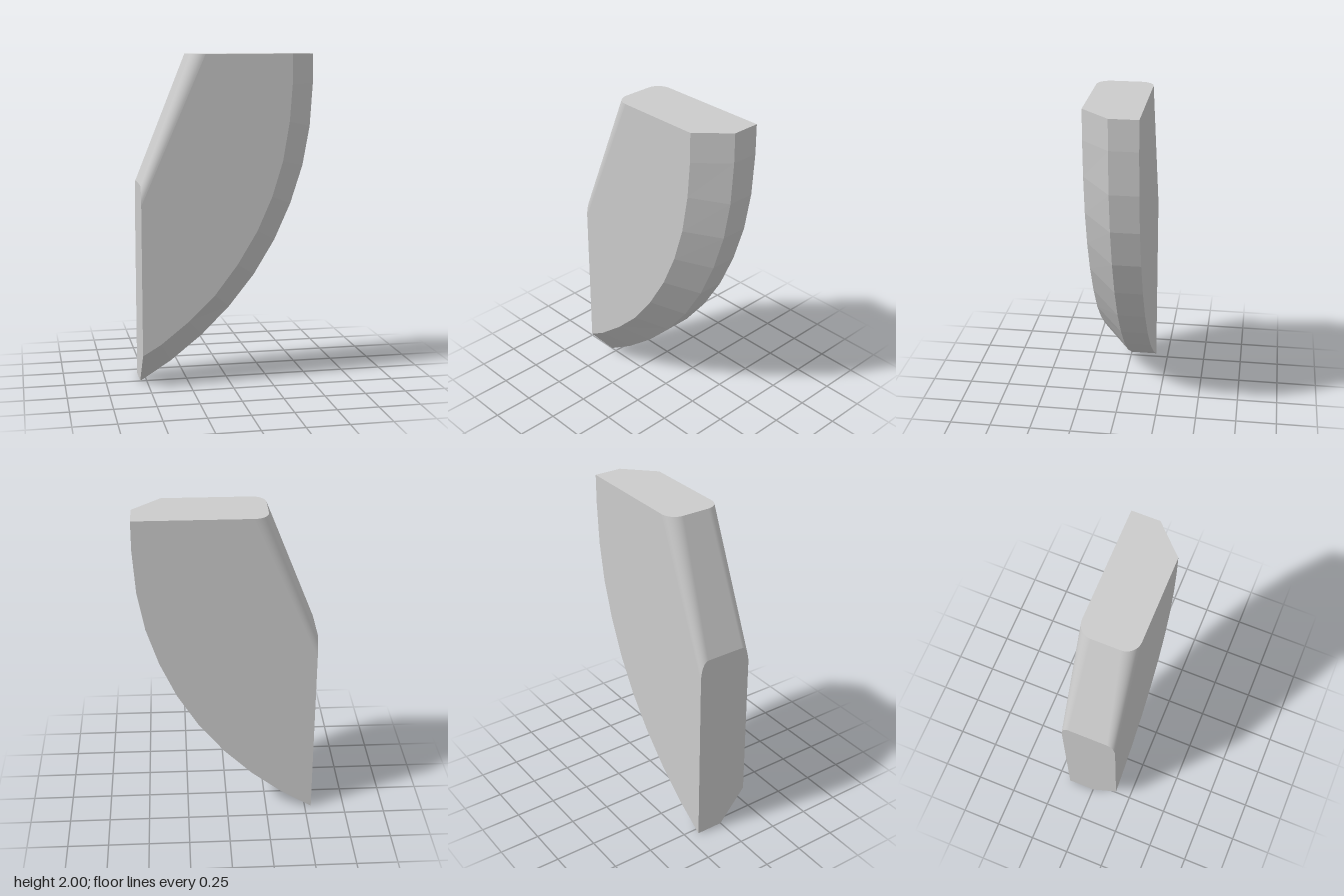
import * as THREE from 'three';

const HALF = 0.17; // half of the plate thickness

export function createModel() {
  const group = new THREE.Group();
  group.name = 'curvedPlate';
  const material = new THREE.MeshStandardMaterial({ color: 0xcccccc });

  const add = (name, points, index) => {
    const geometry = new THREE.BufferGeometry();
    geometry.setAttribute('position', new THREE.Float32BufferAttribute(points.flat(), 3));
    if (index) geometry.setIndex(index);
    geometry.computeVertexNormals();
    const mesh = new THREE.Mesh(geometry, material);
    mesh.name = name;
    group.add(mesh);
  };

  // Convex flat face, corners counter-clockwise from outside
  const fan = (p) => p.slice(2).flatMap((q, i) => [p[0], p[i + 1], q]);
  // Faceted band between two matching rows
  const band = (a, b) => a.slice(1).flatMap((q, i) => fan([a[i], b[i], b[i + 1], q]));
  const atZ = (row, z) => row.map(([x, y]) => [x, y, z]);

  // Curved edge from bottom to top: full outline and its chamfered inset
  const outline = [[-0.54, 0], [-0.35, 0.12], [-0.155, 0.275], [0.02, 0.45], [0.175, 0.645],
    [0.305, 0.86], [0.405, 1.085], [0.48, 1.32], [0.523, 1.56], [0.54, 1.82], [0.54, 2]];
  const inset = [[-0.54, 0.205], [-0.43, 0.27], [-0.26, 0.405], [-0.10, 0.56], [0.04, 0.745],
    [0.16, 0.945], [0.25, 1.15], [0.315, 1.365], [0.354, 1.60], [0.37, 1.82], [0.37, 2]];
  const front = atZ(inset, HALF);
  const middle = atZ(outline, 0);
  const back = atZ(outline, -HALF);
  const last = outline.length - 1;

  // Rounded ends of the sloping edge, front to back; the rounding tapers downward
  const top = [], left = [];
  const steps = 10;
  for (const side of [1, -1]) {
    for (let i = 0; i <= steps; i++) {
      const a = (side > 0 ? 1 - i / steps : i / steps) * Math.PI / 2;
      const sink = 1 - Math.cos(a), reach = 1 - Math.sin(a);
      top.push([-0.238 + 0.085 * sink, 2, side * (HALF - 0.085 * reach)]);
      left.push([-0.54, 1.235 - 0.12 * sink, side * (HALF - 0.05 * reach)]);
    }
  }
  const n = top.length;

  // Flat faces
  add('frontFace', fan([top[0], left[0], ...front]));
  add('backFace', fan([top[n - 1], left[n - 1], ...back].reverse()));
  add('sideFace', fan([middle[0], front[0], ...left, back[0]]));
  add('topFace', fan([...[...top].reverse(), front[last], middle[last], back[last]]));

  // Faceted curved edge
  add('curvedChamfer', band(front, middle));
  add('curvedRim', band(middle, back));

  // Smooth sloping edge
  const index = [];
  for (let i = 0; i < n - 1; i++) index.push(n + i + 1, n + i, i, n + i + 1, i, i + 1);
  add('roundedSlope', [...top, ...left], index);

  return group;
}
